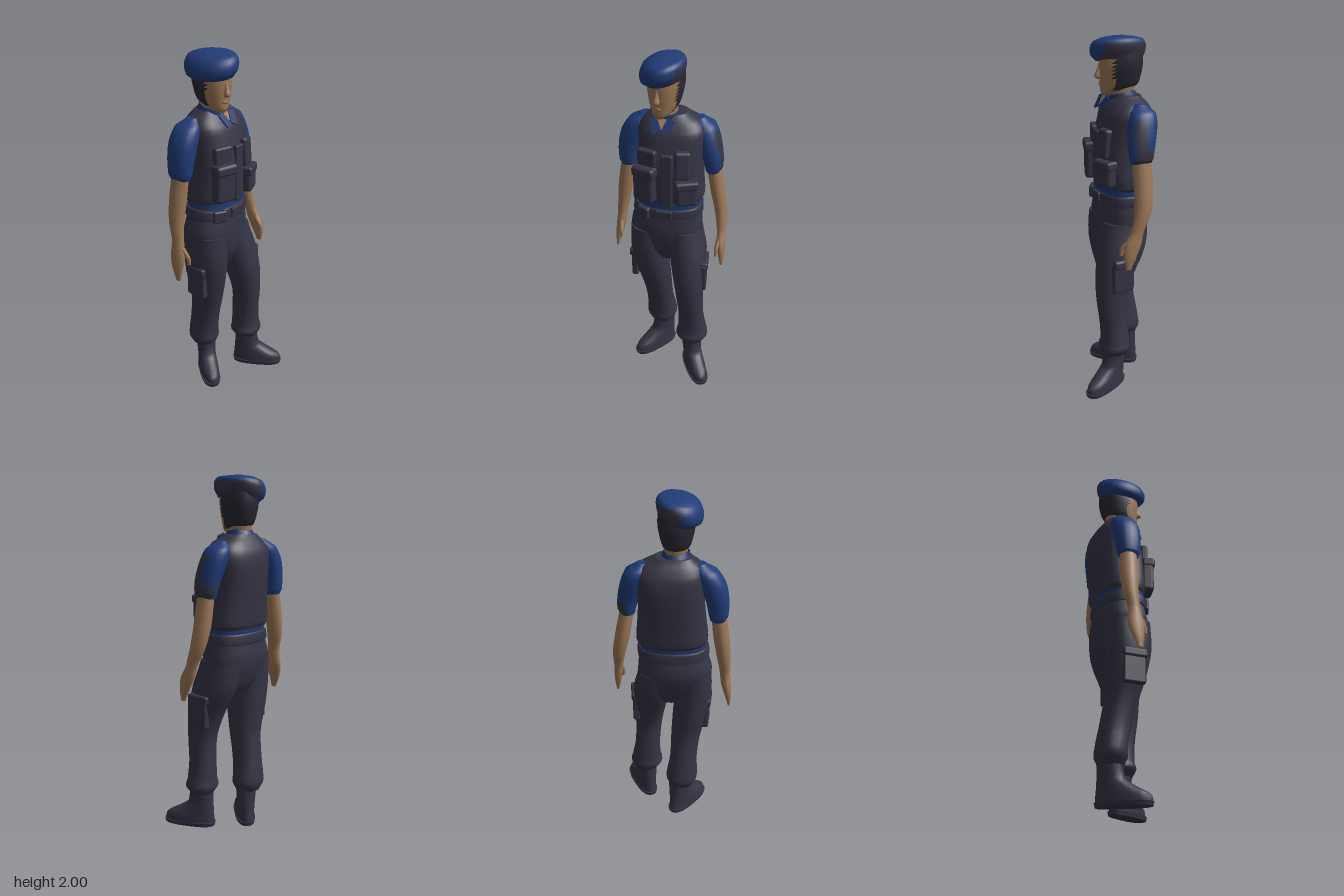
import * as THREE from 'three';
import { RoundedBoxGeometry } from 'three/addons/geometries/RoundedBoxGeometry.js';

const mat = (name, color) => {
  const m = new THREE.MeshStandardMaterial({ color });
  m.name = name;
  return m;
};

export function createModel() {
  const model = new THREE.Group();
  model.name = 'officer';
  const navy = mat('darkNavyCloth', 0x353444);
  const blue = mat('blueCloth', 0x213c78);
  const skin = mat('skin', 0x9c7757);
  const hair = mat('darkHair', 0x2a2833);
  const collarBlue = mat('collarBlue', 0x1f3566);
  collarBlue.side = THREE.DoubleSide;

  const add = (name, geo, material, parent = model) => {
    const m = new THREE.Mesh(geo, material);
    m.name = name;
    parent.add(m);
    return m;
  };

  // Skin stretched over horizontal rings [y, cx, cz, rx, rz, tiltX], listed from the bottom up.
  // pick(x, y, z) returns the index of the material for a face at that place.
  function loft(name, rings, materials, { p = 2.2, sub = 3, n = 20, pick = () => 0, parent = model } = {}) {
    const at = (i, k) => {
      const r = rings[Math.max(0, Math.min(rings.length - 1, i))];
      return r[k] ?? 0;
    };
    const rows = [];
    for (let i = 0; i < rings.length - 1; i++) {
      for (let s = 0; s < sub; s++) {
        const t = s / sub, row = [];
        for (let k = 0; k < 6; k++) {
          const a = at(i, k), b = at(i + 1, k);
          const m0 = (b - at(i - 1, k)) / 2, m1 = (at(i + 2, k) - a) / 2;
          const u = t * t * (3 - 2 * t);
          // straight in height, eased elsewhere
          row.push(k === 0 ? a + (b - a) * t
            : a + (b - a) * u + (t ** 3 - 2 * t * t + t) * m0 + (t ** 3 - t * t) * m1);
        }
        rows.push(row);
      }
    }
    rows.push([0, 1, 2, 3, 4, 5].map(k => at(rings.length - 1, k)));

    const pos = [], faces = materials.map(() => []);
    const ringPoints = ([y, cx, cz, rx, rz, tilt]) => {
      for (let j = 0; j < n; j++) {
        const c = Math.cos(j / n * Math.PI * 2), s = Math.sin(j / n * Math.PI * 2);
        const dx = rx * Math.sign(c) * Math.abs(c) ** (2 / p);
        const dz = rz * Math.sign(s) * Math.abs(s) ** (2 / p);
        pos.push(cx + dx, y + tilt * dx, cz + dz);
      }
    };
    const face = (a, b, c) => {
      const mid = k => (pos[a * 3 + k] + pos[b * 3 + k] + pos[c * 3 + k]) / 3;
      faces[pick(mid(0), mid(1), mid(2))].push(a, b, c);
    };
    rows.forEach(ringPoints);
    for (let i = 0; i < rows.length - 1; i++) {
      for (let j = 0; j < n; j++) {
        const a = i * n + j, b = i * n + (j + 1) % n;
        face(a, a + n, b);
        face(b, a + n, b + n);
      }
    }
    // end caps with their own corners
    [[rows[0], false], [rows[rows.length - 1], true]].forEach(([row, top]) => {
      const start = pos.length / 3;
      ringPoints(row);
      pos.push(row[1], row[0], row[2]);
      for (let j = 0; j < n; j++) {
        const a = start + j, b = start + (j + 1) % n;
        top ? face(start + n, b, a) : face(start + n, a, b);
      }
    });
    const geo = new THREE.BufferGeometry();
    geo.setAttribute('position', new THREE.Float32BufferAttribute(pos, 3));
    geo.setIndex(faces.flat());
    let offset = 0;
    faces.forEach((f, i) => { geo.addGroup(offset, f.length, i); offset += f.length; });
    geo.computeVertexNormals();
    return add(name, geo, materials, parent);
  }

  const pad = (name, x, y, z, w, h, d, ry = 0, rx = 0, material = navy) => {
    const m = add(name, new RoundedBoxGeometry(w, h, d, 2, Math.min(w, h, d) * 0.3), material);
    m.position.set(x, y, z);
    m.rotation.set(rx, ry, 0);
  };

  // Trousers
  loft('trouserSeat', [
    [0.80, 0, -0.06, 0.07, 0.08], [0.87, -0.005, -0.065, 0.18, 0.115], [1.0, -0.02, -0.075, 0.208, 0.14],
    [1.1, -0.012, -0.075, 0.19, 0.132], [1.19, -0.01, -0.075, 0.178, 0.125]], [navy], { p: 2.4 });
  loft('leftTrouserLeg', [
    [0.21, 0.16, 0.025, 0.066, 0.07], [0.25, 0.158, 0.025, 0.096, 0.088], [0.29, 0.158, 0.022, 0.088, 0.08],
    [0.4, 0.15, 0.025, 0.075, 0.08], [0.55, 0.14, 0.035, 0.08, 0.085], [0.7, 0.128, 0.01, 0.095, 0.11],
    [0.85, 0.112, -0.04, 0.108, 0.135], [1.0, 0.085, -0.07, 0.1, 0.13]], [navy]);
  loft('rightTrouserLeg', [
    [0.21, -0.06, -0.135, 0.068, 0.07], [0.25, -0.062, -0.135, 0.09, 0.086], [0.29, -0.065, -0.135, 0.092, 0.084],
    [0.4, -0.073, -0.118, 0.08, 0.085], [0.55, -0.085, -0.09, 0.086, 0.092], [0.7, -0.108, -0.075, 0.1, 0.115],
    [0.85, -0.125, -0.065, 0.105, 0.13], [1.0, -0.125, -0.07, 0.1, 0.13]], [navy]);
  pad('leftCargoPocket', 0.212, 0.71, -0.005, 0.04, 0.18, 0.13, 0.1);
  pad('leftPocketFlap', 0.216, 0.79, -0.015, 0.045, 0.05, 0.14, 0.1);
  pad('rightCargoPocket', -0.2, 0.71, -0.07, 0.04, 0.18, 0.13, -0.1);
  pad('rightPocketFlap', -0.208, 0.79, -0.07, 0.045, 0.05, 0.14, -0.1);

  // Boots, toes along +z before turning
  [['leftBoot', 0.16, 0.03, 0.5], ['rightBoot', -0.052, -0.13, -0.7]].forEach(([name, x, z, turn]) => {
    const boot = new THREE.Group();
    boot.name = name;
    boot.position.set(x, 0, z);
    boot.rotation.y = turn;
    model.add(boot);
    loft(name + 'Sole', [[0, 0, 0.07, 0.056, 0.15], [0.022, 0, 0.07, 0.06, 0.155]], [navy], { sub: 1, p: 2.6, parent: boot });
    loft(name + 'Upper', [
      [0.02, 0, 0.07, 0.056, 0.15], [0.06, 0, 0.065, 0.056, 0.143], [0.095, 0, 0.035, 0.054, 0.11],
      [0.14, 0, 0.003, 0.054, 0.075], [0.26, 0, -0.003, 0.062, 0.068]], [navy], { parent: boot });
  });

  // Belt, shirt hem and vest
  loft('belt', [[1.1, -0.012, -0.075, 0.193, 0.133], [1.108, -0.012, -0.075, 0.2, 0.14],
    [1.152, -0.01, -0.075, 0.197, 0.138], [1.16, -0.01, -0.075, 0.19, 0.132]], [navy], { sub: 1, p: 2.4 });
  pad('beltBuckle', -0.01, 1.13, 0.064, 0.09, 0.055, 0.02);
  pad('beltPouch', -0.13, 1.125, 0.04, 0.08, 0.07, 0.035, -0.5);
  loft('shirtHem', [[1.15, -0.008, -0.075, 0.182, 0.128], [1.24, -0.005, -0.08, 0.185, 0.135]], [blue], { sub: 1, p: 2.4 });
  loft('vest', [
    [1.185, -0.005, -0.085, 0.18, 0.125], [1.21, -0.005, -0.083, 0.196, 0.138], [1.3, -0.003, -0.08, 0.188, 0.148],
    [1.42, 0, -0.085, 0.178, 0.155], [1.53, 0.005, -0.1, 0.182, 0.145], [1.6, 0.005, -0.105, 0.184, 0.13],
    [1.65, 0, -0.108, 0.155, 0.1], [1.69, -0.012, -0.11, 0.095, 0.07]], [navy, blue],
  { p: 2.6, n: 28, pick: (x, y, z) => (y > 1.63 && Math.abs(x + 0.03) < 0.05 && z > -0.06 ? 1 : 0) });
  pad('vestZipStrip', 0.005, 1.35, 0.064, 0.065, 0.32, 0.03);
  pad('rightVestPouch', -0.115, 1.31, 0.055, 0.125, 0.19, 0.075, -0.3);
  pad('rightPouchFlap', -0.115, 1.4, 0.06, 0.135, 0.06, 0.08, -0.3);
  pad('rightChestPanel', -0.105, 1.47, 0.04, 0.11, 0.1, 0.04, -0.3);
  pad('leftChestPouch', 0.085, 1.45, 0.05, 0.085, 0.16, 0.055, 0.25, -0.08);
  pad('leftVestPouch', 0.11, 1.28, 0.055, 0.12, 0.13, 0.075, 0.35);
  pad('leftPouchFlap', 0.11, 1.34, 0.058, 0.13, 0.05, 0.078, 0.35);

  // Sleeves; the left one has a dark shoulder panel
  loft('leftSleeve', [
    [1.365, 0.232, -0.095, 0.04, 0.058], [1.39, 0.236, -0.095, 0.05, 0.066], [1.46, 0.225, -0.1, 0.058, 0.075],
    [1.55, 0.2, -0.115, 0.064, 0.08], [1.62, 0.175, -0.125, 0.06, 0.07], [1.66, 0.15, -0.125, 0.025, 0.03]],
  [blue, navy], { pick: (x, y, z) => (x > 0.235 && y < 1.6 && (z > -0.115 || y < 1.44) && z < -0.05 ? 1 : 0) });
  loft('rightSleeve', [
    [1.345, -0.247, -0.13, 0.043, 0.058], [1.37, -0.25, -0.13, 0.053, 0.068], [1.46, -0.24, -0.13, 0.063, 0.077],
    [1.55, -0.215, -0.13, 0.07, 0.08], [1.62, -0.18, -0.13, 0.06, 0.07], [1.66, -0.15, -0.125, 0.025, 0.03]], [blue]);

  // Bare arms and hands
  const limb = { n: 14, p: 2 };
  loft('leftArm', [
    [1.0, 0.3, -0.05, 0.026, 0.036], [1.1, 0.29, -0.085, 0.035, 0.047],
    [1.22, 0.266, -0.098, 0.041, 0.053], [1.4, 0.235, -0.095, 0.038, 0.052]], [skin], limb);
  loft('leftHand', [
    [0.8, 0.315, 0.005, 0.008, 0.016], [0.86, 0.312, -0.003, 0.018, 0.034], [0.93, 0.306, -0.02, 0.024, 0.048],
    [0.98, 0.301, -0.04, 0.025, 0.04], [1.02, 0.299, -0.055, 0.026, 0.036]], [skin], limb);
  loft('leftThumb', [[0.875, 0.283, 0.036, 0.008, 0.01], [0.92, 0.285, 0.025, 0.012, 0.017],
    [0.97, 0.295, -0.015, 0.015, 0.02]], [skin], limb);
  loft('rightArm', [
    [1.0, -0.298, -0.12, 0.028, 0.036], [1.1, -0.288, -0.135, 0.037, 0.045],
    [1.22, -0.272, -0.135, 0.043, 0.052], [1.39, -0.25, -0.13, 0.04, 0.052]], [skin], limb);
  loft('rightHand', [
    [0.77, -0.33, -0.1, 0.007, 0.016], [0.84, -0.322, -0.11, 0.018, 0.036], [0.91, -0.31, -0.115, 0.026, 0.048],
    [0.97, -0.302, -0.118, 0.028, 0.04], [1.02, -0.297, -0.122, 0.028, 0.036]], [skin], limb);
  loft('rightThumb', [[0.87, -0.292, -0.05, 0.008, 0.01], [0.91, -0.293, -0.06, 0.012, 0.017],
    [0.96, -0.3, -0.09, 0.015, 0.02]], [skin], limb);

  // Collar: an open band, two folded tips and the open throat
  const band = add('collarBand', new THREE.CylinderGeometry(0.068, 0.09, 0.07, 20, 1, true), collarBlue);
  band.position.set(-0.025, 1.675, -0.095);
  band.rotation.x = 0.25;
  const collar = new THREE.Group();
  collar.name = 'collarFront';
  collar.position.set(-0.03, 1.655, 0.012);
  collar.rotation.x = -0.6;
  model.add(collar);
  const plate = (name, pts, material, z) => {
    const shape = new THREE.Shape(pts.map(([x, y]) => new THREE.Vector2(x, y)));
    add(name, new THREE.ExtrudeGeometry(shape, { depth: 0.008, bevelEnabled: false }), material, collar).position.z = z;
  };
  plate('throat', [[0, -0.03], [0.026, 0.03], [-0.026, 0.03]], skin, 0.002);
  [1, -1].forEach(s => plate(s > 0 ? 'leftCollarTip' : 'rightCollarTip',
    [[0, -0.035], [s * 0.04, -0.055], [s * 0.066, 0.02], [s * 0.03, 0.04]], collarBlue, 0.006));

  // Head, turned a little to its right
  const head = new THREE.Group();
  head.name = 'head';
  head.position.set(-0.03, 0, -0.075);
  head.rotation.y = -0.22;
  model.add(head);
  loft('neck', [[1.6, 0, -0.02, 0.062, 0.066], [1.67, 0, -0.02, 0.056, 0.063], [1.76, 0, -0.025, 0.06, 0.07]], [skin], { parent: head });
  loft('faceAndHair', [
    [1.685, 0, 0.062, 0.022, 0.026], [1.705, 0, 0.035, 0.048, 0.064], [1.74, 0, 0, 0.07, 0.102],
    [1.8, 0, -0.008, 0.085, 0.115], [1.86, 0, -0.012, 0.094, 0.12], [1.93, 0, -0.012, 0.09, 0.115]],
  [skin, hair], { n: 24, parent: head, pick: (x, y, z) => (z < 0.035 && y > 1.715 ? 1 : 0) });
  loft('nose', [[1.772, 0, 0.105, 0.012, 0.012], [1.785, 0, 0.112, 0.018, 0.022], [1.81, 0, 0.107, 0.012, 0.017],
    [1.85, 0, 0.1, 0.008, 0.01]], [skin], { n: 10, parent: head });
  loft('lips', [[1.73, 0, 0.082, 0.02, 0.015], [1.742, 0, 0.09, 0.025, 0.018], [1.755, 0, 0.09, 0.02, 0.016]], [skin], { n: 10, parent: head });

  // Soft cap pulled down to one side, with a dark band on the other
  loft('beret', [
    [1.872, -0.035, -0.08, 0.095, 0.13, 0.2], [1.9, -0.04, -0.076, 0.115, 0.15, 0.3],
    [1.94, -0.044, -0.076, 0.118, 0.155, 0.3], [1.973, -0.044, -0.076, 0.1, 0.138, 0.2],
    [1.99, -0.04, -0.076, 0.06, 0.09, 0.1], [1.998, -0.035, -0.076, 0.02, 0.03, 0.05]],
  [blue, navy], { n: 24, p: 2, pick: (x, y, z) => (x > 0.0 - Math.max(0, -0.15 - z) * 0.7 && y < 1.968 && z < 0.04 ? 1 : 0) });

  return model;
}
